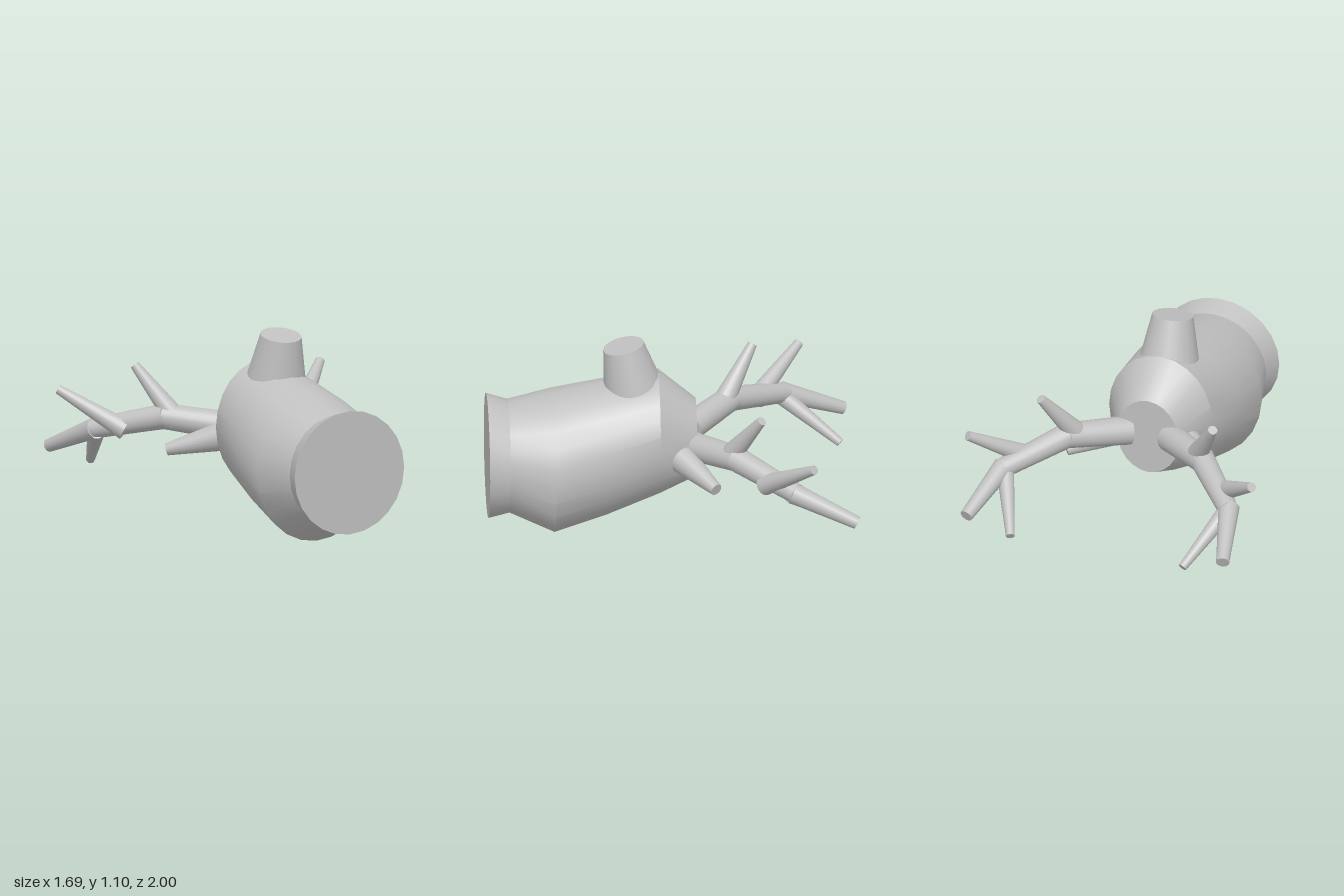
import * as THREE from 'three';
import { toCreasedNormals } from 'three/addons/utils/BufferGeometryUtils.js';

const grey = new THREE.MeshStandardMaterial({ color: 0xc0c0c0 });
grey.name = 'plain grey';

// Tapered cylinder between two points
function limb(name, from, to, r0, r1, sides = 20) {
  const a = new THREE.Vector3(...from), b = new THREE.Vector3(...to);
  const dir = b.clone().sub(a);
  const mesh = new THREE.Mesh(new THREE.CylinderGeometry(r1, r0, dir.length(), sides), grey);
  mesh.position.copy(a).add(b).multiplyScalar(0.5);
  mesh.quaternion.setFromUnitVectors(new THREE.Vector3(0, 1, 0), dir.normalize());
  mesh.name = name;
  return mesh;
}

// Elliptical rings along z, each [z, bottom, top, half width], closed at both ends
function trunkGeometry(rings, sides = 24) {
  const pos = [], index = [];
  for (const [z, low, high, rx] of rings) {
    for (let i = 0; i < sides; i++) {
      const t = (i / sides) * Math.PI * 2;
      pos.push(rx * Math.cos(t), (low + high) / 2 + ((high - low) / 2) * Math.sin(t), z);
    }
  }
  const last = (rings.length - 1) * sides;
  for (let i = 0; i < sides; i++) {
    const j = (i + 1) % sides;
    for (let k = 0; k < last; k += sides) {
      index.push(k + i, k + sides + i, k + j, k + j, k + sides + i, k + sides + j);
    }
  }
  for (let i = 1; i < sides - 1; i++) {
    index.push(0, i, i + 1, last, last + i + 1, last + i);
  }
  const geo = new THREE.BufferGeometry();
  geo.setAttribute('position', new THREE.Float32BufferAttribute(pos, 3));
  geo.setIndex(index);
  return toCreasedNormals(geo, 0.5);
}

// One forked branch on the +x or -x side
function branch(side) {
  const g = new THREE.Group();
  g.name = side > 0 ? 'leftBranch' : 'rightBranch';
  const parts = [
    ['lowerBranch', [0.12, 0.53, -0.11], [0.395, 0.57, -0.35], 0.08, 0.07],
    ['middleBranch', [0.385, 0.572, -0.335], [0.66, 0.475, -0.66], 0.07, 0.056],
    ['upperBranch', [0.655, 0.48, -0.64], [0.745, 0.335, -0.985], 0.058, 0.036],
    ['forkTwig', [0.65, 0.47, -0.63], [0.5, 0.24, -0.955], 0.05, 0.024],
    ['outerTwig', [0.55, 0.485, -0.49], [0.825, 0.695, -0.745], 0.058, 0.026],
    ['risingTwig', [0.33, 0.54, -0.29], [0.5, 0.845, -0.475], 0.066, 0.026],
    ['lowStub', [0.19, 0.49, -0.05], [0.44, 0.41, -0.23], 0.082, 0.034],
  ];
  for (const [name, a, b, r0, r1] of parts) {
    g.add(limb(name, [a[0] * side, a[1], a[2]], [b[0] * side, b[1], b[2]], r0, r1));
  }
  return g;
}

export function createModel() {
  const model = new THREE.Group();
  model.name = 'branchedTrunk';

  // Main trunk with a flared front end
  const trunk = new THREE.Mesh(trunkGeometry([
    [1, 0.1, 0.785, 0.345],
    [0.885, 0.125, 0.75, 0.31],
    [0.64, 0.005, 0.81, 0.372],
    [0.352, 0.1, 0.867, 0.342],
    [0.065, 0.215, 0.92, 0.3],
    [-0.14, 0.307, 0.75, 0.18],
  ]), grey);
  trunk.name = 'trunk';
  model.add(trunk);

  // Short spout on top, leaning forward
  model.add(limb('topStub', [0, 0.74, 0.182], [0, 1.083, 0.255], 0.182, 0.113, 24));

  // Mirrored branches
  model.add(branch(1), branch(-1));
  return model;
}
